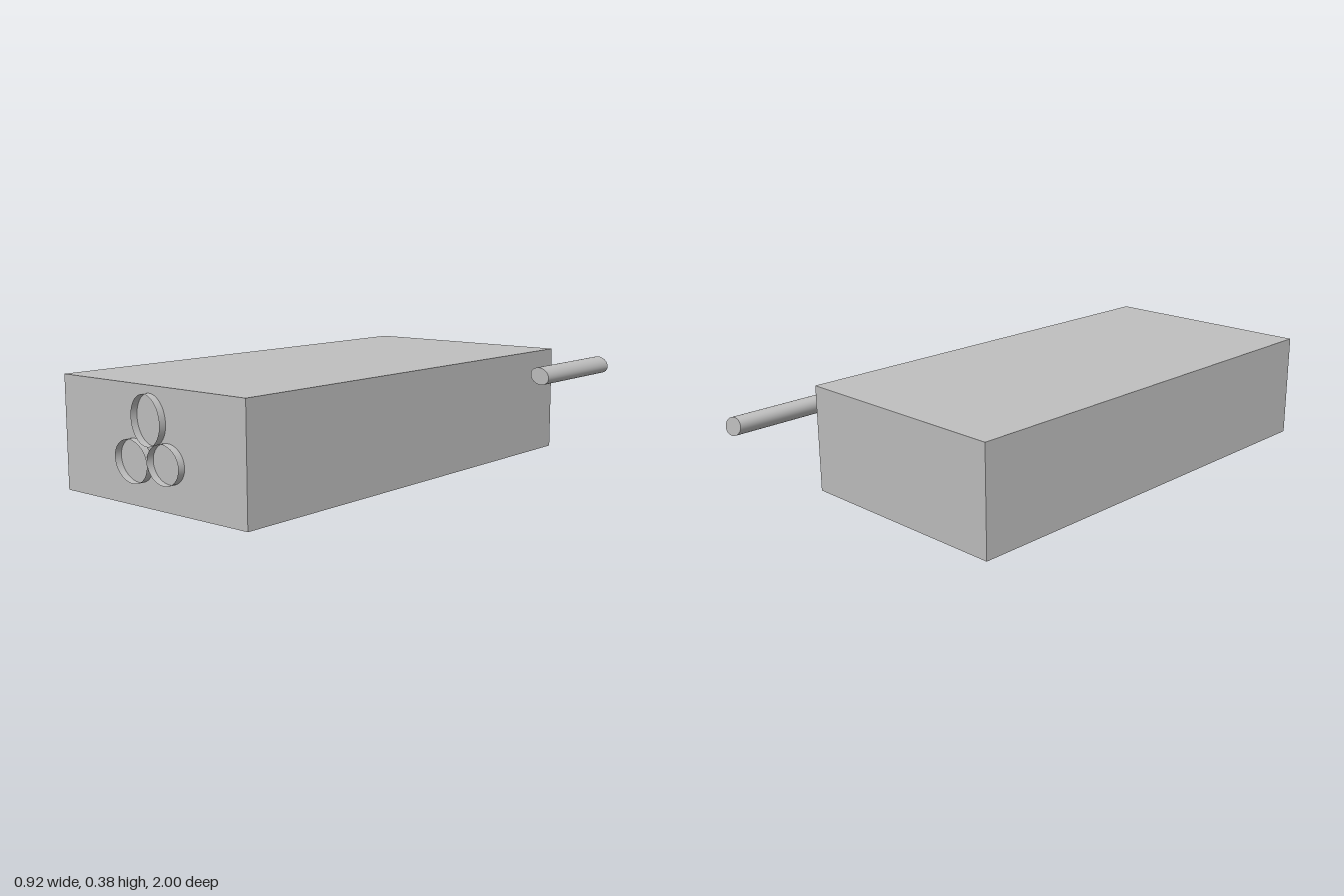
import * as THREE from 'three';

export function createModel() {
  const model = new THREE.Group();
  const grey = new THREE.MeshStandardMaterial({ color: 0xbfbfbf });
  grey.name = 'grey';
  const greyOpen = new THREE.MeshStandardMaterial({ color: 0xbfbfbf, side: THREE.DoubleSide });
  greyOpen.name = 'grey open surface';

  const add = (name, geometry, material) => {
    const mesh = new THREE.Mesh(geometry, material);
    mesh.name = name;
    model.add(mesh);
    return mesh;
  };

  // Elliptical cylinder lying along z, turned by tilt about its axis
  const ellipseBar = (rx, ry, length, tilt, open) =>
    new THREE.CylinderGeometry(1, 1, length, 48, 1, open)
      .rotateX(Math.PI / 2)
      .scale(rx, ry, 1)
      .rotateZ(tilt);

  // Plain block body
  add('body', new THREE.BoxGeometry(0.832, 0.385, 1.672), grey).position.set(-0.046, 0.1925, 0.139);

  // Three open rims standing on the front face: x, y, radii, tilt
  const rims = [
    ['topRim', -0.037, 0.28, 0.065, 0.081, 0.2],
    ['lowerRightRim', -0.109, 0.145, 0.077, 0.067, -0.4],
    ['lowerLeftRim', 0.038, 0.152, 0.071, 0.063, -0.2],
  ];
  for (const [name, x, y, rx, ry, tilt] of rims) {
    add(name, ellipseBar(rx, ry, 0.025, tilt, true), greyOpen).position.set(x, y, 0.9875);
  }

  // Rod beside the back corner, with slanted ends and a slight lean
  const rod = ellipseBar(0.037, 0.031, 0.476, -0.6, false);
  const shear = new THREE.Matrix4().set(
    1, 0, 0.008, 0,
    0, 1, 0, 0,
    -0.17, 0.05, 1, 0,
    0, 0, 0, 1,
  );
  rod.applyMatrix4(shear);
  add('rod', rod, grey).position.set(0.423, 0.299, -0.756);

  return model;
}
